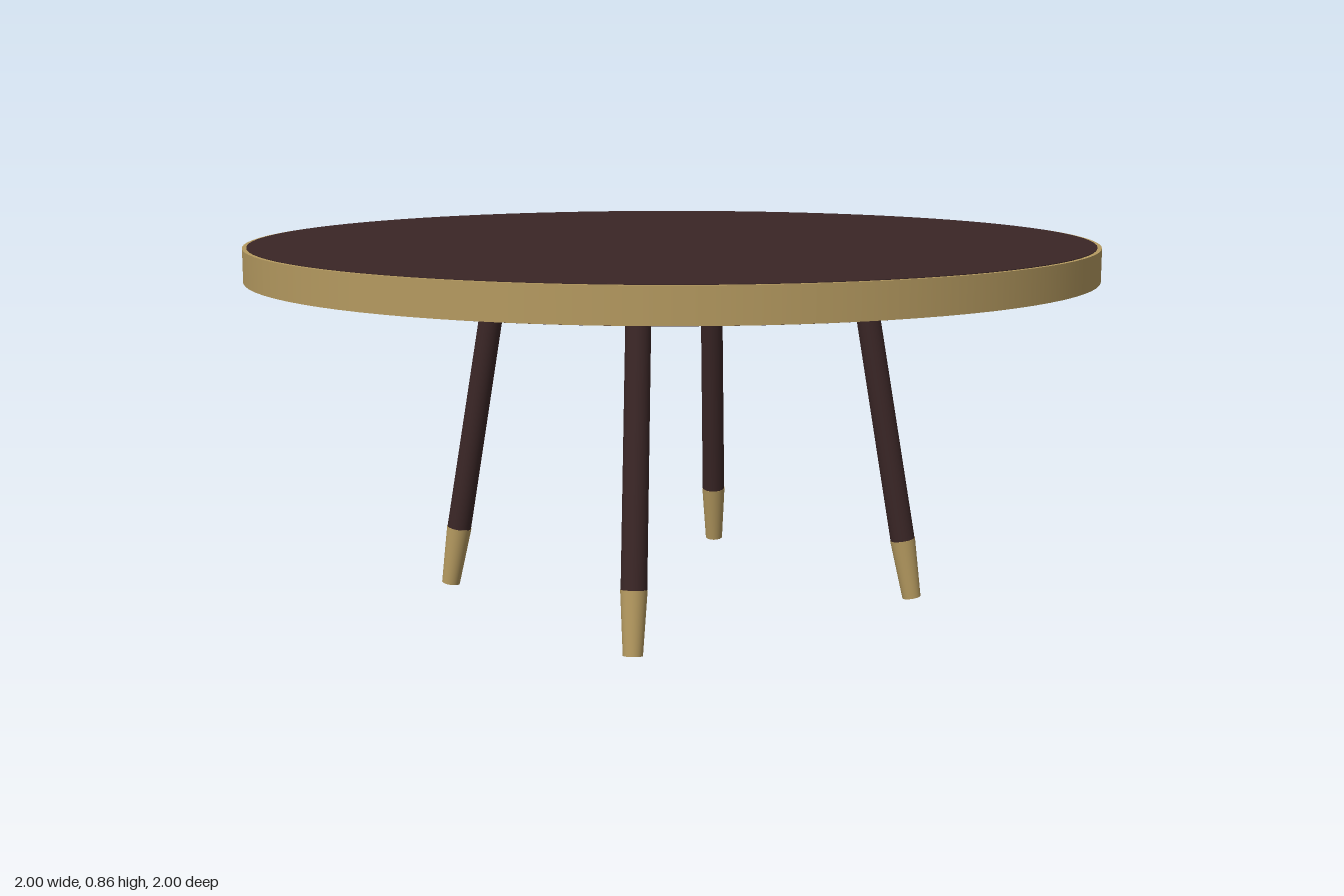
import * as THREE from 'three';

const brass = new THREE.MeshStandardMaterial({ color: 0xb59a60 });
brass.name = 'brass';
const darkWood = new THREE.MeshStandardMaterial({ color: 0x3a2626 });
darkWood.name = 'dark wood';

const UNDERSIDE = 0.78, TOP = 0.857;

// Round bar running from point a (radius ra) up to point b (radius rb)
function bar(name, a, b, ra, rb, material) {
  const axis = b.clone().sub(a);
  const mesh = new THREE.Mesh(new THREE.CylinderGeometry(rb, ra, axis.length(), 32), material);
  mesh.name = name;
  mesh.position.copy(a).add(b).multiplyScalar(0.5);
  mesh.quaternion.setFromUnitVectors(new THREE.Vector3(0, 1, 0), axis.normalize());
  return mesh;
}

// Splayed leg with a tapered metal ferrule at the foot
function leg(sx, sz) {
  const group = new THREE.Group();
  const foot = new THREE.Vector3(0.0075 + sx * 0.412, 0.004, 0.015 + sz * 0.39);
  const head = new THREE.Vector3(0.0075 + sx * 0.322, UNDERSIDE + 0.01, 0.015 + sz * 0.29);
  const joint = foot.clone().lerp(head, 0.18);
  group.add(bar('ferrule', foot, joint, 0.022, 0.03, brass));
  group.add(bar('legShaft', joint, head, 0.029, 0.028, darkWood));
  return group;
}

export function createModel() {
  const table = new THREE.Group();
  table.name = 'roundTable';

  // Tabletop: a metal-edged disc faced above and below with wood
  const edge = new THREE.Mesh(new THREE.CylinderGeometry(1, 1, TOP - UNDERSIDE, 96), brass);
  edge.name = 'tabletopRim';
  edge.position.y = (TOP + UNDERSIDE) / 2;
  table.add(edge);

  const panel = new THREE.Mesh(new THREE.CylinderGeometry(0.99, 0.99, TOP - UNDERSIDE + 0.003, 96), darkWood);
  panel.name = 'tabletopPanel';
  panel.position.y = edge.position.y;
  table.add(panel);

  // Four legs
  for (const [sx, side] of [[1, 'Left'], [-1, 'Right']]) {
    for (const [sz, end] of [[1, 'front'], [-1, 'back']]) {
      const l = leg(sx, sz);
      l.name = `${end}${side}Leg`;
      table.add(l);
    }
  }
  return table;
}
